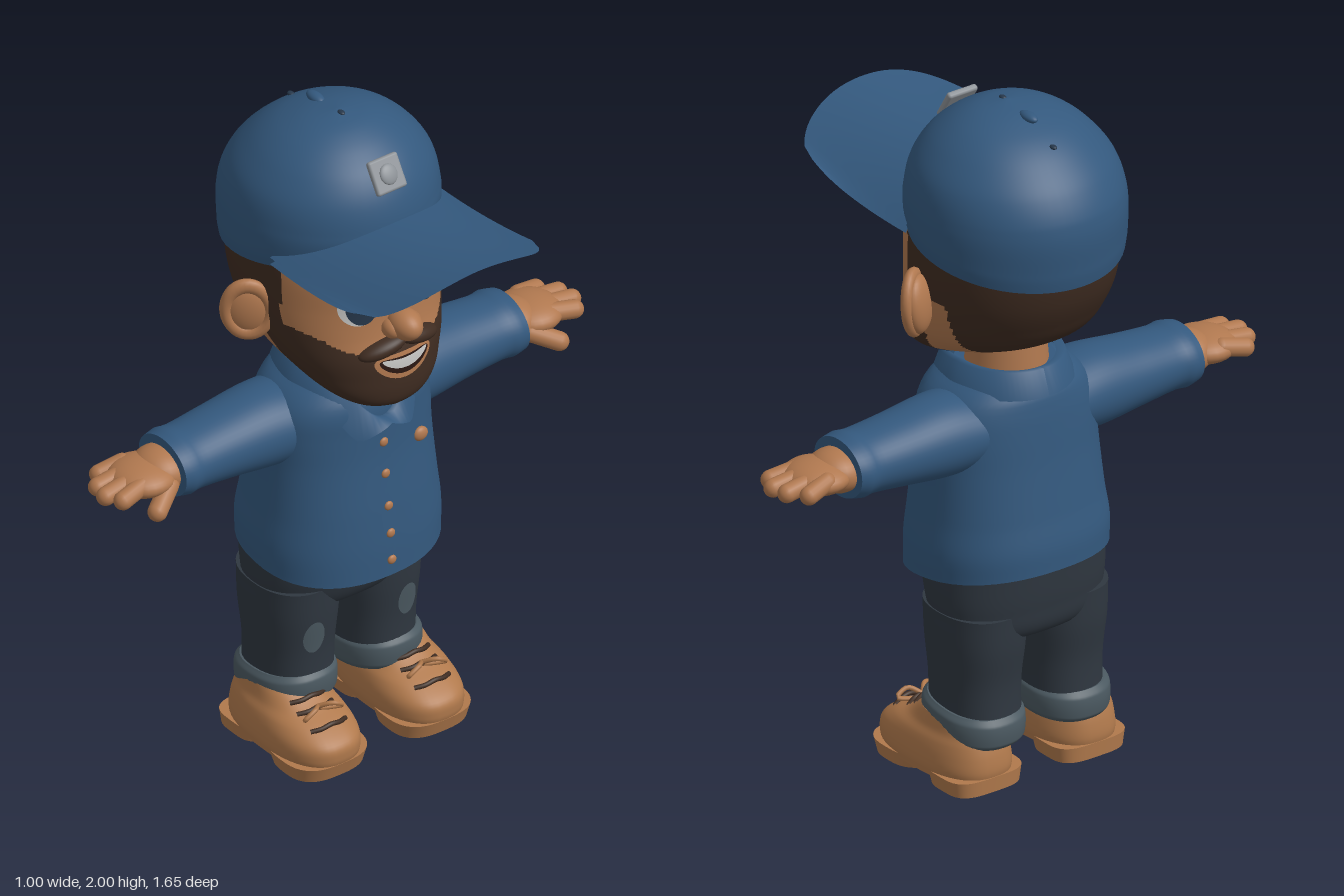
import * as THREE from 'three';
import { RoundedBoxGeometry } from 'three/addons/geometries/RoundedBoxGeometry.js';

const mat = (name, color) => {
  const m = new THREE.MeshStandardMaterial({ color, side: THREE.DoubleSide });
  m.name = name;
  return m;
};

// Smooth interpolation of table rows [y, xBack, xFront, halfWidth]
function sample(rows, y) {
  let i = 0;
  while (i < rows.length - 2 && y > rows[i + 1][0]) i++;
  const a = rows[i], b = rows[i + 1], p = rows[Math.max(i - 1, 0)], q = rows[Math.min(i + 2, rows.length - 1)];
  const h = b[0] - a[0], t = Math.min(Math.max((y - a[0]) / h, 0), 1), t2 = t * t, t3 = t2 * t;
  return [1, 2, 3].map(k => {
    const ma = (b[k] - p[k]) / (b[0] - p[0]) * h, mb = (q[k] - a[k]) / (q[0] - a[0]) * h;
    return (2 * t3 - 3 * t2 + 1) * a[k] + (t3 - 2 * t2 + t) * ma + (3 * t2 - 2 * t3) * b[k] + (t3 - t2) * mb;
  });
}

// Closed surface through superellipse sections; paint(x,y,z) picks a material group
function loft(rows, { p = 2, n = 48, m = 28, cz = 0, warp, paint } = {}) {
  const pos = [], lists = [[], []], y0 = rows[0][0], y1 = rows[rows.length - 1][0];
  const put = (x, y, z) => pos.push(x, warp ? warp(x, y) : y, z);
  for (let i = 0; i <= m; i++) {
    const y = y0 + (y1 - y0) * i / m, [xb, xf, rz] = sample(rows, y);
    for (let j = 0; j < n; j++) {
      const a = j / n * Math.PI * 2, c = Math.cos(a), s = Math.sin(a);
      put((xb + xf) / 2 + (xf - xb) / 2 * Math.sign(c) * Math.abs(c) ** (2 / p), y,
        cz + rz * Math.sign(s) * Math.abs(s) ** (2 / p));
    }
  }
  for (let i = 0; i < m; i++) for (let j = 0; j < n; j++) {
    const a = i * n + j, b = i * n + (j + 1) % n, c = b + n, d = a + n;
    const mid = k => (pos[a * 3 + k] + pos[c * 3 + k]) / 2;
    lists[paint ? paint(mid(0), mid(1), mid(2)) : 0].push(a, d, b, d, c, b);
  }
  // End caps on their own vertices
  for (const [row, up] of [[0, 0], [m, 1]]) {
    const base = pos.length / 3, ring = pos.slice(row * n * 3, (row + 1) * n * 3);
    pos.push(...ring);
    let sx = 0, sy = 0;
    for (let j = 0; j < n; j++) { sx += ring[j * 3] / n; sy += ring[j * 3 + 1] / n; }
    pos.push(sx, sy, cz);
    for (let j = 0; j < n; j++) {
      const a = base + j, b = base + (j + 1) % n;
      lists[paint ? 1 : 0].push(...(up ? [b, a, base + n] : [a, b, base + n]));
    }
  }
  const g = new THREE.BufferGeometry();
  g.setAttribute('position', new THREE.Float32BufferAttribute(pos, 3));
  g.setIndex([...lists[0], ...lists[1]]);
  g.addGroup(0, lists[0].length, 0);
  if (paint) g.addGroup(lists[0].length, lists[1].length, 1);
  g.computeVertexNormals();
  return g;
}

// Front x of a lofted surface at height y and side z
const frontX = (rows, p, cz = 0) => (y, z) => {
  const [b, f, r] = sample(rows, y);
  return (b + f) / 2 + (f - b) / 2 * Math.max(0, 1 - Math.abs((z - cz) / r) ** p) ** (1 / p);
};

// Thin oval laid on a front surface
function drape(surf, y, z, w, h, off, bend = 0) {
  const g = new THREE.RingGeometry(0.01, 1, 32, 6), P = g.attributes.position;
  for (let i = 0; i < P.count; i++) {
    const u = P.getX(i), v = P.getY(i), yy = y + h * v + bend * u * u, zz = z - w * u;
    P.setXYZ(i, surf(yy, zz) + off, yy, zz);
  }
  g.computeVertexNormals();
  return g;
}

const tube = (pts, r) => new THREE.TubeGeometry(new THREE.CatmullRomCurve3(pts.map(p => new THREE.Vector3(...p))), 16, r, 8);
const clamp01 = t => Math.min(Math.max(t, 0), 1);

export function createModel() {
  const root = new THREE.Group();
  root.name = 'cappedMan';
  const blue = mat('blueCloth', 0x33587d), skin = mat('skin', 0xb0784f), hair = mat('brownHair', 0x3f2c21);
  const denim = mat('darkDenim', 0x2f3740), grey = mat('fadedDenim', 0x4b5961), leather = mat('tanLeather', 0xb0794c);
  const silver = mat('silver', 0x8c9196), white = mat('white', 0xc4c4c2), navy = mat('eyeNavy', 0x26374a), dark = mat('mouthDark', 0x2a1712);
  const add = (name, geo, material, parent = root) => {
    const mesh = new THREE.Mesh(geo, material);
    mesh.name = name;
    parent.add(mesh);
    return mesh;
  };
  const ball = (name, material, [x, y, z], [a, b, c], parent) => {
    const mesh = add(name, new THREE.SphereGeometry(1, 28, 20), material, parent);
    mesh.position.set(x, y, z);
    mesh.scale.set(a, b, c);
    return mesh;
  };
  const capsule = (name, material, a, b, r) => {
    const A = new THREE.Vector3(...a), d = new THREE.Vector3(...b).sub(A);
    const mesh = add(name, new THREE.CapsuleGeometry(r, d.length(), 8, 16), material);
    mesh.position.copy(A).addScaledVector(d, 0.5);
    mesh.quaternion.setFromUnitVectors(new THREE.Vector3(0, 1, 0), d.normalize());
  };

  // Head, with hair and beard painted by region
  const headRows = [[1.175, .05, .13, .04], [1.2, -.01, .155, .115], [1.24, -.12, .165, .175], [1.3, -.28, .165, .222],
    [1.35, -.37, .16, .25], [1.42, -.42, .14, .272], [1.5, -.455, .13, .284], [1.6, -.472, .13, .287], [1.72, -.465, .11, .28]];
  const hp = 2.15, face = frontX(headRows, hp);
  const isHair = (x, y, z) => {
    const w = Math.abs(z);
    if (y > 1.68) return 1;
    const top = 1.41 - .03 * Math.sin(clamp01(w / .2) * Math.PI) + .04 * clamp01((w - .18) / .08);
    if (x > -.05 + Math.max(0, 1.46 - y) + Math.max(0, y - 1.62) && y > top) return 0;
    if (x > -.12 + .6 * Math.max(0, 1.37 - y)) return 1;
    if (x > -.23 && y < 1.48) return 0;
    return y > 1.26 ? 1 : 0;
  };
  add('head', loft(headRows, { p: hp, n: 144, m: 90, paint: isHair }), [skin, hair]);
  add('neck', new THREE.CylinderGeometry(.105, .125, .24, 32), skin).position.set(-.145, 1.23, 0);
  ball('nose', skin, [.16, 1.455, 0], [.062, .045, .045]);
  ball('noseBridge', skin, [.12, 1.5, 0], [.03, .06, .03]);
  add('lips', drape(face, 1.325, 0, .095, .04, .004, .02), skin);
  add('mouth', drape(face, 1.328, 0, .082, .026, .007, .02), dark);
  add('teeth', drape(face, 1.335, 0, .075, .015, .01, .018), white);
  for (const s of [1, -1]) {
    ball('nostril', skin, [.145, 1.445, s * .035], [.035, .028, .025]);
    ball('moustache', hair, [.138, 1.388, s * .06], [.036, .026, .075]).rotation.set(s * .25, s * -.2, 0);
    add('eyeWhite', drape(face, 1.53, s * .118, .055, .062, .004), white);
    add('iris', drape(face, 1.53, s * .112, .044, .058, .008), navy);
    add('eyeGlint', drape(face, 1.555, s * .112 + .014, .01, .012, .011), white);
    add('eyebrow', drape(face, 1.66, s * .13, .068, .018, .008, -.018), hair);
    // Ear with a raised rim
    const ear = new THREE.Group();
    ear.name = 'ear';
    ear.position.set(-.15, 1.465, s * .305);
    ear.rotation.set(s * .12, s * -.6, 0);
    root.add(ear);
    ball('earBody', skin, [0, 0, 0], [.034, .088, .068], ear);
    const rim = add('earRim', new THREE.TorusGeometry(.06, .017, 12, 32), skin, ear);
    rim.rotation.y = Math.PI / 2;
    rim.scale.set(1.02, 1.35, 1);
    rim.position.set(.014, .004, 0);
  }

  // Cap crown with a rim that rises toward the front
  const crownRows = [[1.612, -.49, .115, .3], [1.65, -.497, .125, .306], [1.74, -.5, .13, .305], [1.83, -.462, .11, .284], [1.9, -.4, .068, .235],
    [1.95, -.33, .01, .176], [1.982, -.25, -.05, .11], [1.996, -.19, -.1, .05], [2, -.15, -.14, .006]];
  add('capCrown', loft(crownRows, { n: 64, m: 56, warp: (x, y) => y + .17 * (x + .19) * clamp01((1.76 - y) / .14) }), blue);
  // Arched brim
  const nu = 20, nv = 36, bp = [], bi = [];
  for (let k = 0; k < 2; k++) for (let i = 0; i <= nu; i++) for (let j = 0; j <= nv; j++) {
    const v = j / nv * 2 - 1, t = i / nu, x0 = .03 - .1 * v * v;
    const end = .34 + .16 * Math.sqrt(1 - Math.abs(v) ** 2.6 * .999), edge = 1 - t ** 6;
    bp.push(x0 + (end - x0) * t, 1.772 + .042 * t * t - .105 * v * v - .022 * k * edge, .298 * v * (1 - .03 * (1 - t)));
  }
  for (let k = 0; k < 2; k++) for (let i = 0; i < nu; i++) for (let j = 0; j < nv; j++) {
    const a = k * (nu + 1) * (nv + 1) + i * (nv + 1) + j, b = a + 1, d = a + nv + 1, c = d + 1;
    bi.push(...(k ? [a, d, b, d, c, b] : [a, b, d, d, b, c]));
  }
  const brim = new THREE.BufferGeometry();
  brim.setAttribute('position', new THREE.Float32BufferAttribute(bp, 3));
  brim.setIndex(bi);
  brim.computeVertexNormals();
  add('capBrim', brim, blue);
  // Blank badge and cap top details
  const badge = add('capBadge', new RoundedBoxGeometry(.02, .1, .1, 3, .008), silver);
  badge.position.set(.078, 1.905, 0);
  badge.rotation.z = .55;
  const boss = ball('badgeBoss', silver, [.088, 1.911, 0], [.01, .03, .028]);
  boss.rotation.z = .55;
  ball('capButton', blue, [-.245, 1.985, 0], [.036, .014, .018]);
  for (const x of [-.357, -.128]) ball('capVent', navy, [x, x < -.3 ? 1.936 : 1.998, 0], [.013, .006, .009]);

  // Shirt body, placket and buttons
  const shirtRows = [[.618, -.387, .1, .288], [.7, -.385, .096, .29], [.8, -.37, .085, .278], [.95, -.347, .066, .266], [1.05, -.335, .06, .262],
    [1.12, -.325, .058, .245], [1.17, -.31, .04, .205], [1.21, -.265, -.01, .14]];
  const chest = frontX(shirtRows, 2.3);
  add('shirtBody', loft(shirtRows, { p: 2.3, m: 36, warp: (x, y) => y - .13 * (x + .14) * clamp01((.8 - y) / .18) }), blue);
  add('placket', drape(chest, .86, 0, .026, .22, .004), blue);
  for (const y of [1.01, .91, .81, .725, .64]) ball('shirtButton', skin, [chest(y, 0) + .004, y, 0], [.008, .014, .014]);
  ball('chestButton', skin, [chest(.97, -.14) + .004, .97, -.14], [.014, .022, .024]);
  // Folded collar, open at the throat
  const cn = 72, cp = [], ci = [];
  for (let j = 0; j <= cn; j++) {
    const a = (j / cn * 2 - 1) * Math.PI, f = Math.max(0, Math.cos(a)), w = Math.abs(a);
    const top = 1.235 - .025 * f - .115 * f ** 5, fall = clamp01(w / .5), tip = Math.exp(-(((w - .55) / .25) ** 2));
    for (const [r, q, dy] of [[0, 0, 0], [.024, .3, .004], [.05, 1, -.07 * fall - .035 * tip]])
      cp.push(-.13 + (.16 + r + .025 * f) * Math.cos(a), top + dy, (.135 + r * 1.1 * (q ? 1 : 0)) * Math.sin(a));
    if (j < cn) for (let k = 0; k < 2; k++) {
      const b = j * 3 + k;
      ci.push(b, b + 3, b + 1, b + 3, b + 4, b + 1);
    }
  }
  const collar = new THREE.BufferGeometry();
  collar.setAttribute('position', new THREE.Float32BufferAttribute(cp, 3));
  collar.setIndex(ci);
  collar.computeVertexNormals();
  add('collar', collar, blue);

  const sleeveRows = [[.1, -.3, -.01, .105], [.25, -.292, -.03, .117], [.4, -.28, -.045, .102], [.53, -.27, -.05, .09], [.55, -.276, -.044, .094], [.59, -.268, -.05, .086]];
  const legRows = [[.16, -.325, -.05, .112], [.3, -.322, -.048, .114], [.42, -.336, -.036, .124], [.52, -.34, -.03, .126]];
  const cuffRows = [[.14, -.33, -.045, .116], [.155, -.34, -.036, .124], [.21, -.34, -.036, .124], [.228, -.325, -.05, .112]];
  const shoeRows = [[.03, -.325, .112, .122], [.06, -.33, .12, .128], [.1, -.325, .112, .125], [.135, -.315, .06, .115], [.16, -.305, 0, .102], [.2, -.295, -.06, .092]];
  add('hips', loft([[.41, -.27, -.1, .16], [.45, -.335, -.045, .235], [.53, -.355, -.01, .264], [.66, -.365, .02, .268]], { p: 2.4 }), denim);
  for (const s of [1, -1]) {
    // Sleeve and hand
    add('sleeve', loft(sleeveRows).rotateX(s * Math.PI / 2).translate(0, 1.053, 0), blue);
    ball('wrist', skin, [-.16, 1.05, s * .6], [.085, .062, .08]);
    ball('palm', skin, [-.158, 1.052, s * .665], [.1, .045, .095]);
    [[-.238, .75], [-.19, .79], [-.14, .8], [-.094, .775]].forEach(([x, z]) =>
      capsule('finger', skin, [x * .8 - .035, 1.062, s * .68], [x, 1.046, s * z], .027));
    capsule('thumb', skin, [-.09, 1.035, s * .62], [-.05, .998, s * .69], .028);
    // Trouser leg, knee patch and turned-up cuff
    add('trouserLeg', loft(legRows, { p: 2.3, cz: s * .14 }), denim);
    add('kneePatch', drape(frontX(legRows, 2.3, s * .14), .37, s * .16, .033, .052, .006), grey);
    add('trouserCuff', loft(cuffRows, { p: 2.3, cz: s * .146, warp: (x, y) => y + .1 * (x + .19) }), grey);
    // Boot, sole, heel and laces
    const cz = s * .178, tongue = frontX(shoeRows, 2.5, cz);
    add('boot', loft(shoeRows, { p: 2.5, cz }), leather);
    add('soleGap', loft([[.018, -.3, .085, .1], [.034, -.3, .085, .1]], { p: 2.5, cz, m: 2 }), hair);
    add('heel', loft([[0, -.328, -.15, .114], [.045, -.33, -.14, .122]], { p: 3.5, cz, m: 2 }), leather);
    add('frontSole', loft([[0, -.1, .105, .118], [.045, -.12, .118, .128]], { p: 2.8, cz, m: 2 }), leather);
    for (const y of [.135, .16, .18])
      add('lace', tube([-.06, -.03, 0, .03, .06].map(d => [tongue(y, cz + d) + .003, y + .01 - Math.abs(d) * .2, cz + d]), .007), hair);
    for (const k of [1, -1])
      add('laceLoop', tube([[.0, .17, cz], [.03, .185, cz + k * .03], [.03, .165, cz + k * .065], [.01, .16, cz + k * .03], [.0, .165, cz]], .007), leather);
  }
  return root;
}
